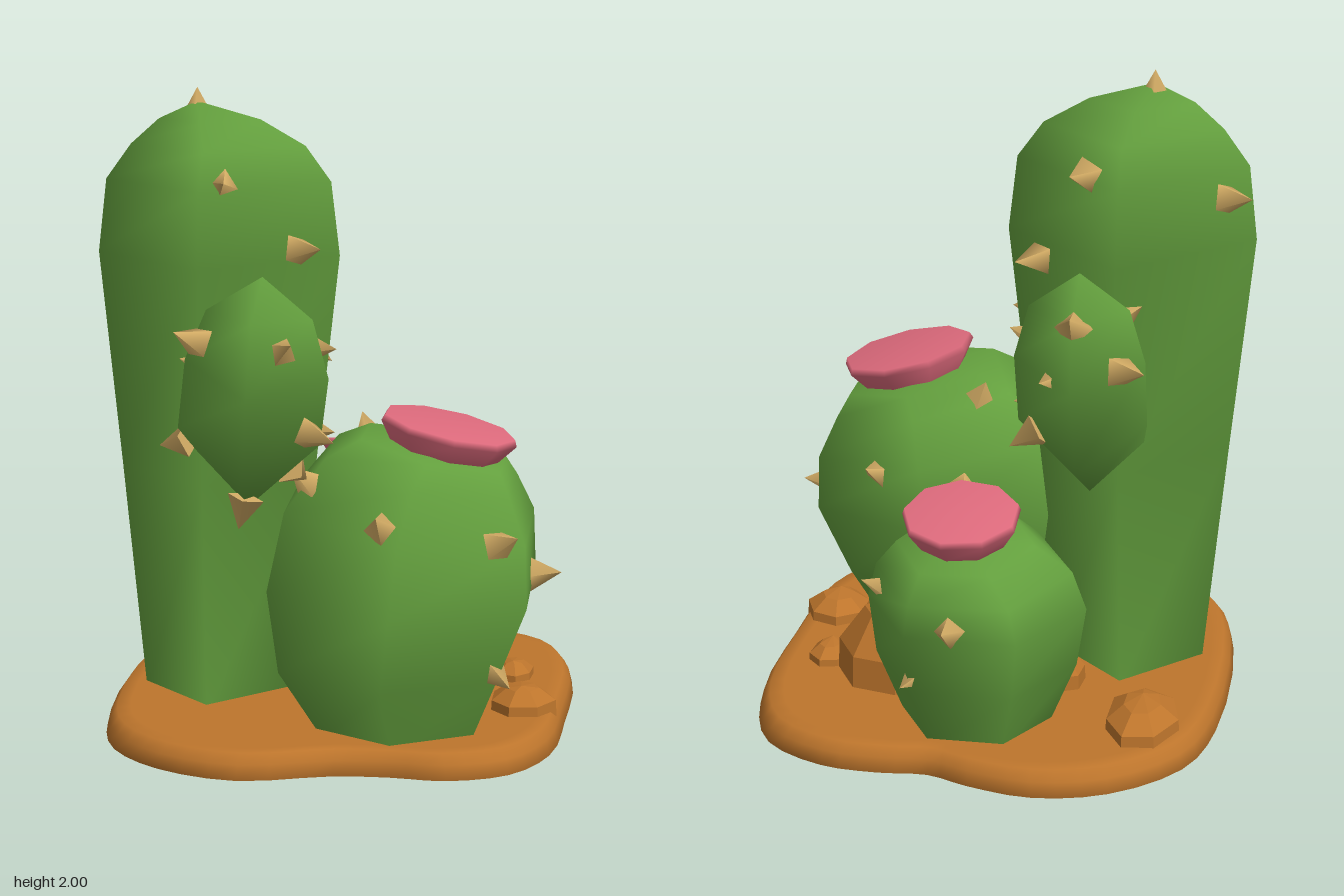
import * as THREE from 'three';

const V = (x, y, z) => new THREE.Vector3(x, y, z);
const mat = (name, color, extra) => {
  const m = new THREE.MeshStandardMaterial({ color, ...extra });
  m.name = name;
  return m;
};

// Skin a stack of rings (counter-clockwise about the path); optional end tips
function skin(rings, endTip, startTip) {
  const n = rings[0].length, pos = [], idx = [];
  rings.forEach(r => r.forEach(p => pos.push(p.x, p.y, p.z)));
  const last = (rings.length - 1) * n;
  for (let i = 0; i < rings.length - 1; i++) {
    for (let j = 0; j < n; j++) {
      const a = i * n + j, b = i * n + (j + 1) % n;
      idx.push(a, b, b + n, a, b + n, a + n);
    }
  }
  if (endTip) {
    const t = pos.length / 3;
    pos.push(endTip.x, endTip.y, endTip.z);
    for (let j = 0; j < n; j++) idx.push(last + j, last + (j + 1) % n, t);
  }
  if (startTip) {
    const t = pos.length / 3;
    pos.push(startTip.x, startTip.y, startTip.z);
    for (let j = 0; j < n; j++) idx.push((j + 1) % n, j, t);
  }
  const g = new THREE.BufferGeometry();
  g.setAttribute('position', new THREE.Float32BufferAttribute(pos, 3));
  g.setIndex(idx);
  g.computeVertexNormals();
  return g;
}

// Ring of points around centre c, perpendicular to normal
function ring(c, normal, r, sides, phase = 0) {
  const n = normal.clone().normalize();
  const u = V(1, 0, 0).addScaledVector(n, -n.x).normalize();
  const v = n.clone().cross(u);
  return Array.from({ length: sides }, (_, j) => {
    const a = phase + j / sides * Math.PI * 2;
    return c.clone().addScaledVector(u, r * Math.cos(a)).addScaledVector(v, r * Math.sin(a));
  });
}

// Upright body from rows of [x, y, z, radius, tiltX, tiltZ]
function body(rows, tip, sides, phase) {
  return skin(rows.map(([x, y, z, r, tx = 0, tz = 0]) => ring(V(x, y, z), V(tx, 1, tz), r, sides, phase)), V(...tip));
}

// Bent four-sided arm from rows of [x, y, z, radius]
function arm(rows, tip) {
  const pts = [...rows, tip].map(p => V(p[0], p[1], p[2]));
  const rings = rows.map((p, i) => ring(pts[i], pts[i + 1].clone().sub(pts[Math.max(i - 1, 0)]), p[3], 4));
  return skin(rings, pts[pts.length - 1]);
}

export function createModel() {
  const model = new THREE.Group();
  model.name = 'cactusGarden';
  const green = mat('cactus green', 0x64a03e);
  const sand = mat('sand orange', 0xbd752c);
  const tan = mat('thorn tan', 0xd2ab64);
  const pink = mat('flower pink', 0xdd6a7c);
  const add = (name, geometry, material) => {
    const m = new THREE.Mesh(geometry, material);
    m.name = name;
    model.add(m);
    return m;
  };

  // Sand base with a wavy rounded outline
  const outline = new THREE.CatmullRomCurve3([
    [0.74, 0.0], [0.74, -0.45], [0.65, -0.7], [0.46, -0.82], [0.28, -0.84], [0.13, -0.83], [0, -0.88],
    [-0.2, -0.92], [-0.42, -0.86], [-0.62, -0.67], [-0.695, -0.4], [-0.695, 0.2], [-0.62, 0.46], [-0.45, 0.63],
    [-0.2, 0.71], [0.08, 0.63], [0.25, 0.62], [0.42, 0.63], [0.6, 0.55], [0.71, 0.35],
  ].map(([x, z]) => V(x, 0, z)), true).getPoints(60).slice(0, -1);
  const slab = (s, y) => outline.map(p => V(0.02 + (p.x - 0.02) * s, y, -0.1 + (p.z + 0.1) * s));
  add('sandBase', skin([slab(0.97, 0), slab(1, 0.005), slab(0.985, 0.05), slab(0.955, 0.08), slab(0.9, 0.082)],
    V(0.02, 0.082, -0.1), V(0.02, 0, -0.1)), sand);

  // Tall cactus with a square section and two raised arms
  add('tallCactus', body([
    [-0.375, 0.05, -0.02, 0.235], [-0.37, 0.8, -0.02, 0.31], [-0.365, 1.48, -0.02, 0.382],
    [-0.365, 1.71, -0.02, 0.355], [-0.365, 1.82, -0.02, 0.275], [-0.39, 1.9, -0.02, 0.16],
  ], [-0.43, 1.955, -0.02], 4), green);
  add('frontArm', arm([
    [-0.25, 0.97, 0.1, 0.11], [-0.22, 0.96, 0.3, 0.13], [-0.19, 0.955, 0.46, 0.165], [-0.17, 1.03, 0.61, 0.21],
    [-0.13, 1.25, 0.71, 0.21], [-0.12, 1.41, 0.72, 0.155],
  ], [-0.11, 1.52, 0.72]), green);
  add('backArm', arm([
    [-0.33, 0.95, -0.1, 0.12], [-0.32, 0.95, -0.28, 0.125], [-0.31, 0.97, -0.46, 0.155], [-0.3, 1.08, -0.61, 0.19],
    [-0.3, 1.3, -0.685, 0.19], [-0.3, 1.46, -0.7, 0.145],
  ], [-0.3, 1.56, -0.69]), green);

  // Round six-sided cacti
  add('largeRoundCactus', body([
    [0.245, 0.05, 0.28, 0.26], [0.22, 0.26, 0.24, 0.385], [0.245, 0.51, 0.2, 0.455, 0.04, 0.06],
    [0.265, 0.72, 0.175, 0.425, 0.12, 0.06], [0.3, 0.86, 0.18, 0.33, 0.2, 0.03], [0.335, 0.92, 0.18, 0.25, 0.22, 0],
  ], [0.35, 0.94, 0.18], 6, Math.PI / 6), green);
  add('smallRoundCactus', body([
    [0.03, 0.05, -0.54, 0.22], [0.03, 0.27, -0.55, 0.31], [0.025, 0.46, -0.56, 0.335],
    [0.03, 0.58, -0.58, 0.3, 0.02, -0.08], [0.05, 0.67, -0.605, 0.21, 0.03, -0.16],
  ], [0.06, 0.7, -0.61], 6, 0), green);

  // Flower caps: flared discs tilted with the cactus
  const flower = (name, x, y, z, r, dir) => {
    const d = V(...dir).normalize(), at = h => V(x, y, z).addScaledVector(d, h);
    add(name, skin([ring(at(-0.075), d, r * 0.78, 9), ring(at(-0.01), d, r, 9), ring(at(0.01), d, r * 0.96, 9)],
      at(0.008)), pink);
  };
  flower('largeFlower', 0.38, 0.985, 0.185, 0.215, [0.22, 1, 0]);
  flower('smallFlower', 0.06, 0.765, -0.615, 0.18, [0, 1, -0.2]);

  // Faceted rocks: [x, z, radiusX, radiusZ, height]
  [
    [0.34, -0.3, 0.18, 0.18, 0.34], [0.56, -0.23, 0.07, 0.09, 0.14], [0.61, 0.11, 0.11, 0.12, 0.16],
    [-0.48, -0.54, 0.12, 0.18, 0.17], [-0.17, -0.28, 0.11, 0.1, 0.2],
  ].forEach(([x, z, rx, rz, h], k) => {
    const level = (s, y) => ring(V(0, y, 0), V(0, 1, 0), s, 7, k * 1.3)
      .map((p, j) => V(x + p.x * rx * (1 - 0.08 * (j % 2)), p.y, z + p.z * rz));
    const g = skin([level(1, 0.06), level(0.97, 0.08 + (h - 0.08) * 0.4), level(0.5, 0.08 + (h - 0.08) * 0.85)],
      V(x, h, z + 0.03)).toNonIndexed();
    g.computeVertexNormals();
    add('rock', g, sand);
  });

  // Thorns: each plant has a centre they point away from
  const plants = [
    { c: [-0.37, 1.2, -0.02], k: 0.1, at: [[-0.3, 1.73, 0.28], [-0.24, 1.74, -0.32], [-0.06, 1.52, 0.15],
      [-0.09, 1.47, -0.31], [-0.03, 1.2, 0.06], [-0.7, 1.65, -0.18], [-0.29, 1.25, 0.26], [-0.05, 0.92, -0.03],
      [-0.22, 1.06, -0.31]] },
    { c: [-0.15, 1.15, 0.62], k: 0.5, at: [[-0.41, 0.99, 0.53], [-0.03, 1.33, 0.83], [0.05, 1.05, 0.7],
      [-0.32, 1.35, 0.78], [-0.32, 1.25, 0.64], [-0.19, 0.8, 0.62], [-0.05, 0.88, 0.42]] },
    { c: [-0.3, 1.25, -0.67], k: 0.5, at: [[-0.46, 1.3, -0.78], [-0.3, 1.46, -0.85], [-0.43, 1.42, -0.63],
      [-0.14, 1.36, -0.66], [-0.23, 1.27, -0.79], [-0.14, 1.05, -0.69]] },
    { c: [0.25, 0.5, 0.2], k: 0.9, at: [[0.58, 0.7, 0.47], [0.68, 0.53, 0.16], [0.56, 0.27, 0.44],
      [0.21, 0.77, 0.58], [0.42, 0.71, -0.18], [0.13, 0.69, -0.23], [-0.05, 0.86, 0.37], [0.1, 0.94, -0.03]] },
    { c: [0.03, 0.4, -0.57], k: 0.9, at: [[0.32, 0.52, -0.62], [0.32, 0.33, -0.49], [0.21, 0.6, -0.37],
      [0.06, 0.5, -0.88], [0.18, 0.31, -0.81], [-0.09, 0.5, -0.32]] },
  ];
  const thornGeo = new THREE.ConeGeometry(0.055, 0.1, 4);
  const thorn = (p, dir, s = 1) => {
    const m = add('thorn', thornGeo, tan);
    m.position.copy(p);
    m.quaternion.setFromUnitVectors(V(0, 1, 0), dir.normalize());
    m.scale.setScalar(s);
  };
  plants.forEach(({ c, k, at }) => at.forEach(p =>
    thorn(V(...p), V(p[0] - c[0], (p[1] - c[1]) * k, p[2] - c[2]))));
  thorn(V(-0.43, 1.965, -0.03), V(0, 1, 0), 0.65);

  return model;
}
